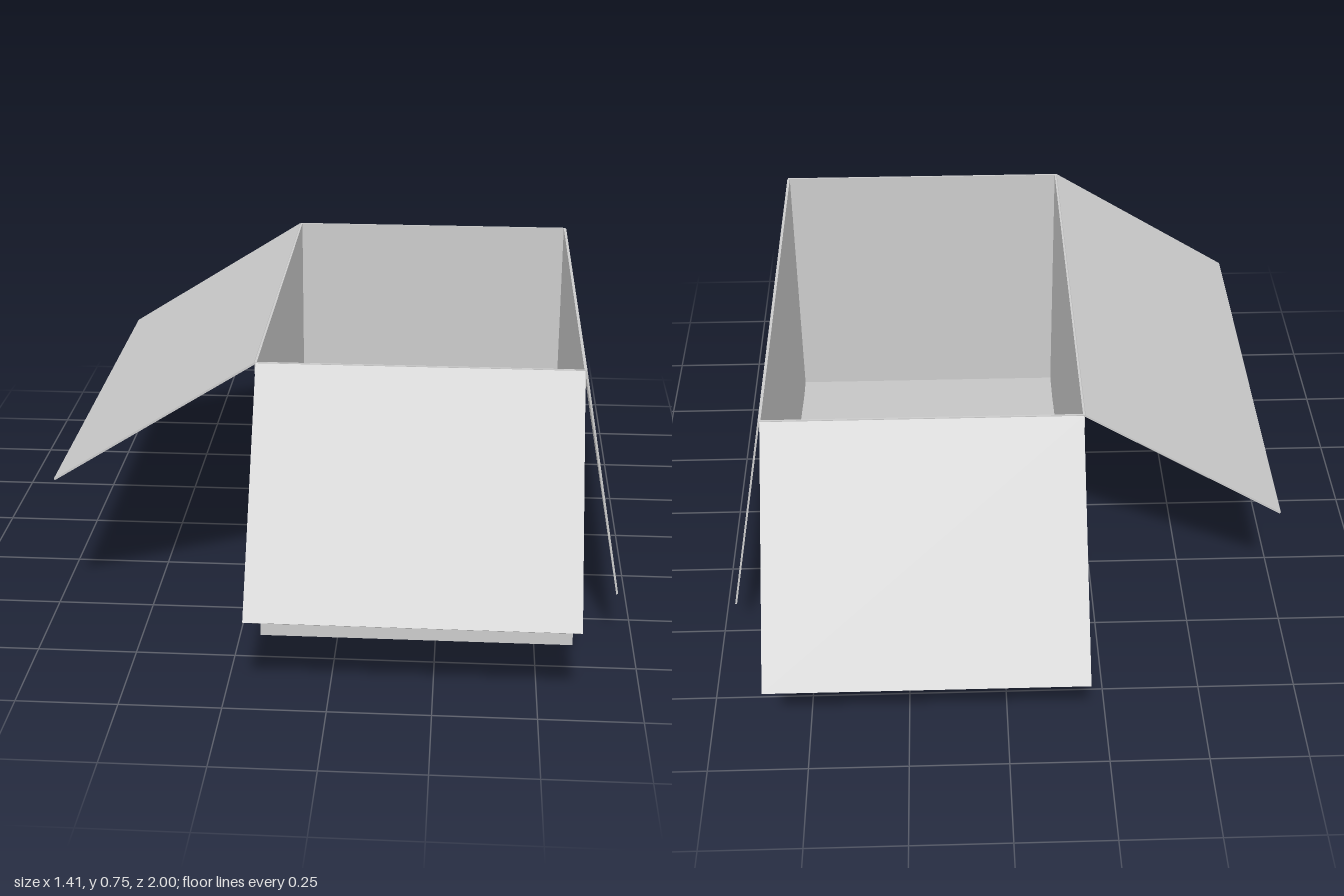
import * as THREE from 'three';

export function createModel() {
  const carton = new THREE.Group();
  carton.name = 'openCarton';
  const material = new THREE.MeshStandardMaterial({ color: 0xcccccc, flatShading: true });

  const T = 0.005; // board thickness
  const x0 = -0.198, x1 = 0.598, z0 = -0.557, z1 = 0.642, H = 0.747;
  const W = x1 - x0, D = z1 - z0, cx = (x0 + x1) / 2, cz = (z0 + z1) / 2;

  function board(name, w, h, d, x, y, z) {
    const mesh = new THREE.Mesh(new THREE.BoxGeometry(w, h, d), material);
    mesh.name = name;
    mesh.position.set(x, y, z);
    carton.add(mesh);
  }

  // Flap hinged at (x, y, z): yaw turns it outward, (run, drop) is its reach and fall
  function flap(name, width, x, y, z, yaw, run, drop) {
    const length = Math.hypot(run, drop);
    const geometry = new THREE.BoxGeometry(width, T, length).translate(0, 0, length / 2);
    const mesh = new THREE.Mesh(geometry, material);
    mesh.name = name;
    mesh.position.set(x, y, z);
    mesh.rotation.set(Math.atan2(drop, run), yaw, 0, 'YXZ');
    carton.add(mesh);
  }

  // Floor and four walls
  board('floor', W, T, D, cx, T / 2, cz);
  board('frontWall', W, H, T, cx, H / 2, z1 - T / 2);
  board('backWall', W, H, T, cx, H / 2, z0 + T / 2);
  board('leftWall', T, H, D, x1 - T / 2, H / 2, cz);
  board('rightWall', T, H, D, x0 + T / 2, H / 2, cz);

  // Open top flaps
  const top = H - T / 2;
  flap('frontFlap', W - T, cx, top, z1, 0, 0.356, 0.513);
  flap('backFlap', W - T, cx, top, z0, Math.PI, 0.441, 0.482);
  flap('leftFlap', D, x1, top, cz, Math.PI / 2, 0.105, 0.595);
  flap('rightFlap', D, x0, top, cz, -Math.PI / 2, 0.509, 0.322);

  // Loose bottom flaps, lifted slightly towards the middle
  flap('frontBottomFlap', W - 0.014, cx, T / 2, z1 - T, Math.PI, 0.565, -0.09);
  flap('backBottomFlap', W - 0.014, cx, T / 2, z0 + T, 0, 0.535, -0.035);

  return carton;
}
